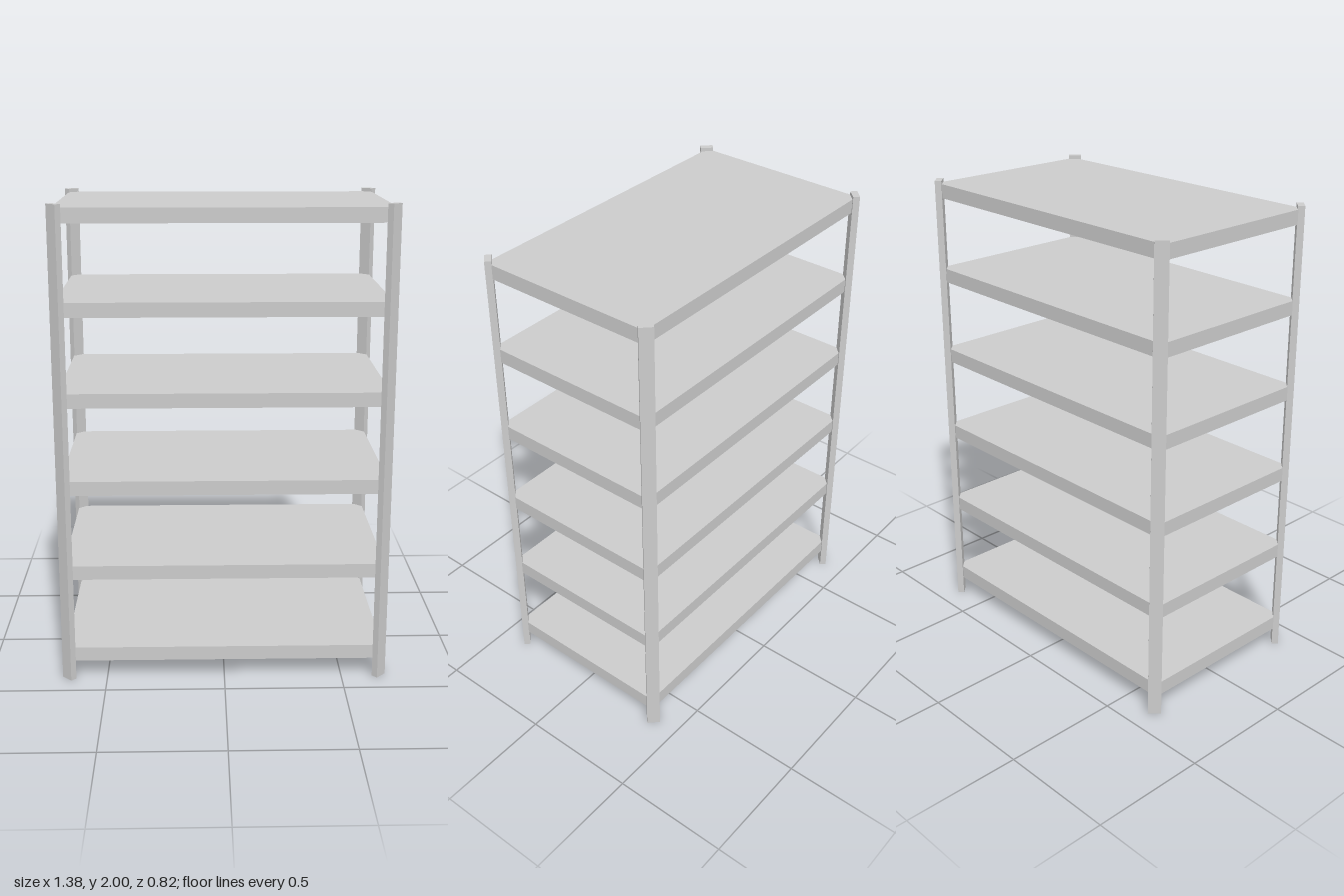
import * as THREE from 'three';

export function createModel() {
  const group = new THREE.Group();
  const material = new THREE.MeshStandardMaterial({ color: 0xcccccc });

  // six evenly spaced shelf boards
  const shelfGeometry = new THREE.BoxGeometry(1.344, 0.06, 0.772);
  for (let i = 0; i < 6; i++) {
    const shelf = new THREE.Mesh(shelfGeometry, material);
    shelf.name = `shelf${i + 1}`;
    shelf.position.y = 0.11 + i * 0.369;
    group.add(shelf);
  }

  // corner posts, each turned to face diagonally outward
  const postGeometry = new THREE.BoxGeometry(0.055, 2, 0.028);
  for (const sx of [-1, 1]) {
    for (const sz of [-1, 1]) {
      const post = new THREE.Mesh(postGeometry, material);
      post.name = (sz > 0 ? 'front' : 'back') + (sx > 0 ? 'Left' : 'Right') + 'Post';
      post.position.set(sx * 0.661, 1, sz * 0.383);
      post.rotation.y = Math.atan2(sx, sz);
      group.add(post);
    }
  }
  return group;
}
